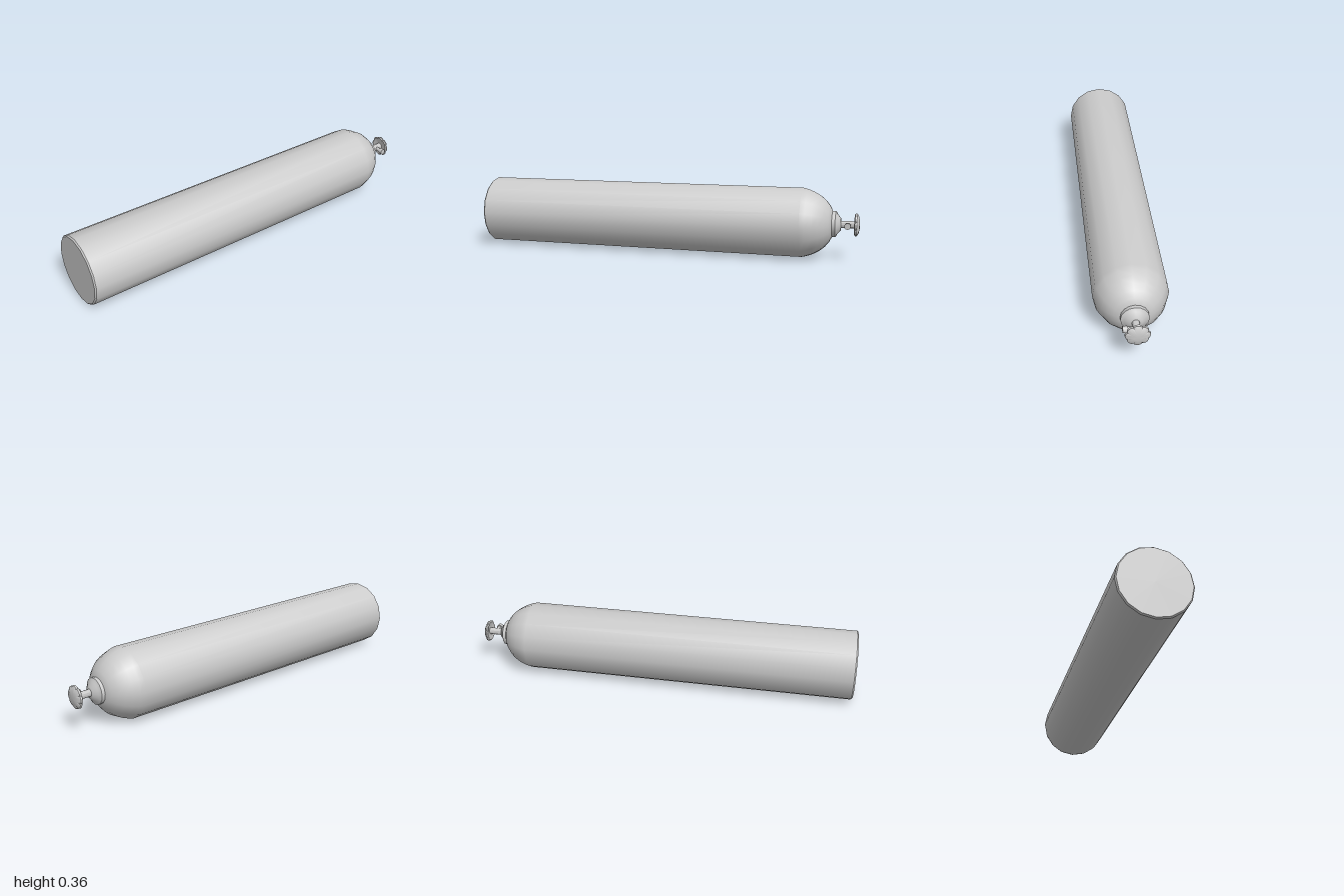
import * as THREE from 'three';
import { toCreasedNormals } from 'three/addons/utils/BufferGeometryUtils.js';

const R = 0.178;
const material = new THREE.MeshStandardMaterial({ color: 0xcccccc });

// Revolve [radius, distance toward the back] pairs around the tank axis
function turned(name, profile, sides, reshape) {
  let geo = new THREE.LatheGeometry(profile.map(([r, t]) => new THREE.Vector2(r, t)), sides);
  if (reshape) reshape(geo.attributes.position);
  geo = toCreasedNormals(geo, 0.65);
  geo.rotateX(-Math.PI / 2);
  const mesh = new THREE.Mesh(geo, material);
  mesh.name = name;
  return mesh;
}

export function createModel() {
  const group = new THREE.Group();
  group.name = 'gasCylinder';
  const axis = new THREE.Group();
  axis.name = 'tank';
  axis.position.y = R + 0.002;
  group.add(axis);

  // Body with a small base bevel and a rounded shoulder
  axis.add(turned('body', [
    [0, -1], [0.172, -1], [R, -0.993], [R, 0.718], [0.172, 0.742], [0.159, 0.775],
    [0.142, 0.805], [0.12, 0.831], [0.094, 0.852], [0.066, 0.866], [0, 0.866],
  ], 16));

  // Neck ring tapering to the valve
  axis.add(turned('neckCollar', [
    [0.066, 0.855], [0.066, 0.883], [0.05, 0.892], [0.03, 0.908], [0, 0.91],
  ], 16));
  axis.add(turned('valveStem', [[0.018, 0.9], [0.018, 0.982], [0, 0.982]], 12));

  // Handwheel with a scalloped rim
  const lobes = 8;
  axis.add(turned('handwheel', [
    [0, 0.979], [0.035, 0.979], [0.052, 0.975], [0.058, 0.98],
    [0.056, 0.988], [0.042, 0.996], [0.02, 1], [0, 1],
  ], lobes * 8, (pos) => {
    for (let i = 0; i < pos.count; i++) {
      const x = pos.getX(i), z = pos.getZ(i), r = Math.hypot(x, z);
      const lobe = Math.abs(Math.cos(Math.atan2(z, x) * lobes / 2));
      const k = r > 0.03 ? 0.87 + 0.13 * Math.sqrt(lobe) : 1;
      pos.setX(i, x * k);
      pos.setZ(i, z * k);
    }
  }));

  // Side outlet: neck and wider nozzle
  for (const [name, r, x0, x1] of [['outletNeck', 0.011, 0, 0.045], ['outletNozzle', 0.016, 0.042, 0.063]]) {
    const geo = new THREE.CylinderGeometry(r, r, x1 - x0, 12).rotateZ(-Math.PI / 2);
    const mesh = new THREE.Mesh(geo, material);
    mesh.name = name;
    mesh.position.set((x0 + x1) / 2, 0, -0.944);
    axis.add(mesh);
  }
  return group;
}
